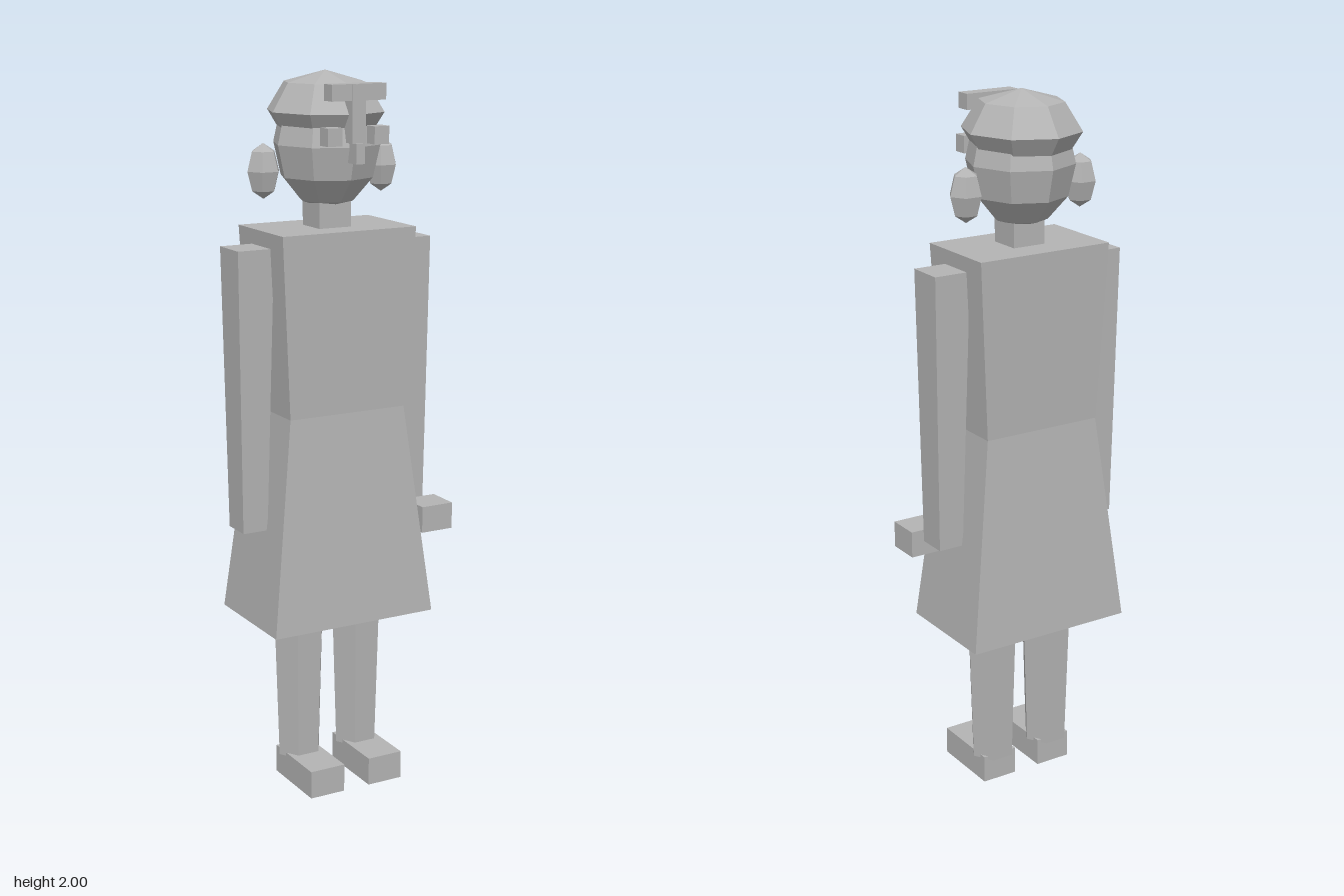
import * as THREE from 'three';

export function createModel() {
  const model = new THREE.Group();
  const grey = new THREE.MeshStandardMaterial({ color: 0xb4b4b4, flatShading: true });
  grey.name = 'plain grey';

  function add(name, geometry) {
    const mesh = new THREE.Mesh(geometry, grey);
    mesh.name = name;
    model.add(mesh);
    return mesh;
  }

  // Box given by its limits on each axis
  function block(name, [x0, x1], [y0, y1], [z0, z1]) {
    add(name, new THREE.BoxGeometry(x1 - x0, y1 - y0, z1 - z0))
      .position.set((x0 + x1) / 2, (y0 + y1) / 2, (z0 + z1) / 2);
  }

  // Four-sided column through rectangles [y, x0, x1, z0, z1], bottom to top
  function column(name, sections) {
    const n = sections.length - 1;
    const g = new THREE.BoxGeometry(1, 1, 1, 1, n, 1);
    const p = g.attributes.position;
    for (let i = 0; i < p.count; i++) {
      const [y, x0, x1, z0, z1] = sections[Math.round((p.getY(i) + 0.5) * n)];
      p.setXYZ(i, p.getX(i) < 0 ? x0 : x1, y, p.getZ(i) < 0 ? z0 : z1);
    }
    g.computeVertexNormals();
    add(name, g);
  }

  // Faceted ellipsoid
  function ellipsoid(name, sides, rows, radii, centre) {
    const g = new THREE.SphereGeometry(1, sides, rows);
    g.scale(...radii);
    add(name, g).position.set(...centre);
  }

  const cx = -0.013; // body axis

  // Dress, pinched at the waist
  column('dress', [
    [0.49, -0.261, 0.236, -0.163, 0.161],
    [1.087, -0.19, 0.163, -0.116, 0.117],
    [1.585, -0.216, 0.19, -0.131, 0.129],
  ]);
  block('neck', [-0.063, 0.034], [1.58, 1.68], [-0.047, 0.048]);

  // Head, hair cap and hair bunches
  ellipsoid('head', 8, 6, [0.146, 0.175, 0.156], [cx, 1.807, -0.005]);
  ellipsoid('hair', 8, 4, [0.158, 0.107, 0.174], [cx, 1.893, -0.011]);

  for (const [side, s] of [['left', 1], ['right', -1]]) {
    ellipsoid(side + 'HairBunch', 6, 4, [0.047, 0.074, 0.047], [cx + s * 0.181, 1.74, -0.023]);

    // Arm, slightly tapered to the wrist
    const a = cx + s * 0.243, b = cx + s * 0.249;
    column(side + 'Arm', [
      [0.765, b - 0.037, b + 0.037, -0.041, 0.045],
      [1.543, a - 0.053, a + 0.053, -0.055, 0.053],
    ]);

    // Six-sided leg
    const leg = new THREE.CylinderGeometry(0.078, 0.064, 0.46, 6, 1, false, Math.PI / 2);
    add(side + 'Leg', leg).position.set(cx + s * 0.093, 0.3, 0);

    const f = cx + s * 0.093;
    block(side + 'Foot', [f - 0.053, f + 0.053], [0, 0.08], [-0.041, 0.171]);

    const e = cx + s * 0.07;
    block(side + 'Eye', [e - 0.022, e + 0.022], [1.815, 1.862], [0.129, 0.17]);
  }

  // Outstretched hand
  block('leftHand', [0.209, 0.307], [0.72, 0.795], [0.053, 0.15]);

  // Fringe, forehead strip and nose
  block('fringe', [-0.093, 0.069], [1.93, 1.973], [0.127, 0.17]);
  block('foreheadStrip', [-0.033, 0.008], [1.82, 1.972], [0.127, 0.171]);
  block('nose', [-0.026, 0], [1.767, 1.82], [0.13, 0.18]);

  return model;
}
